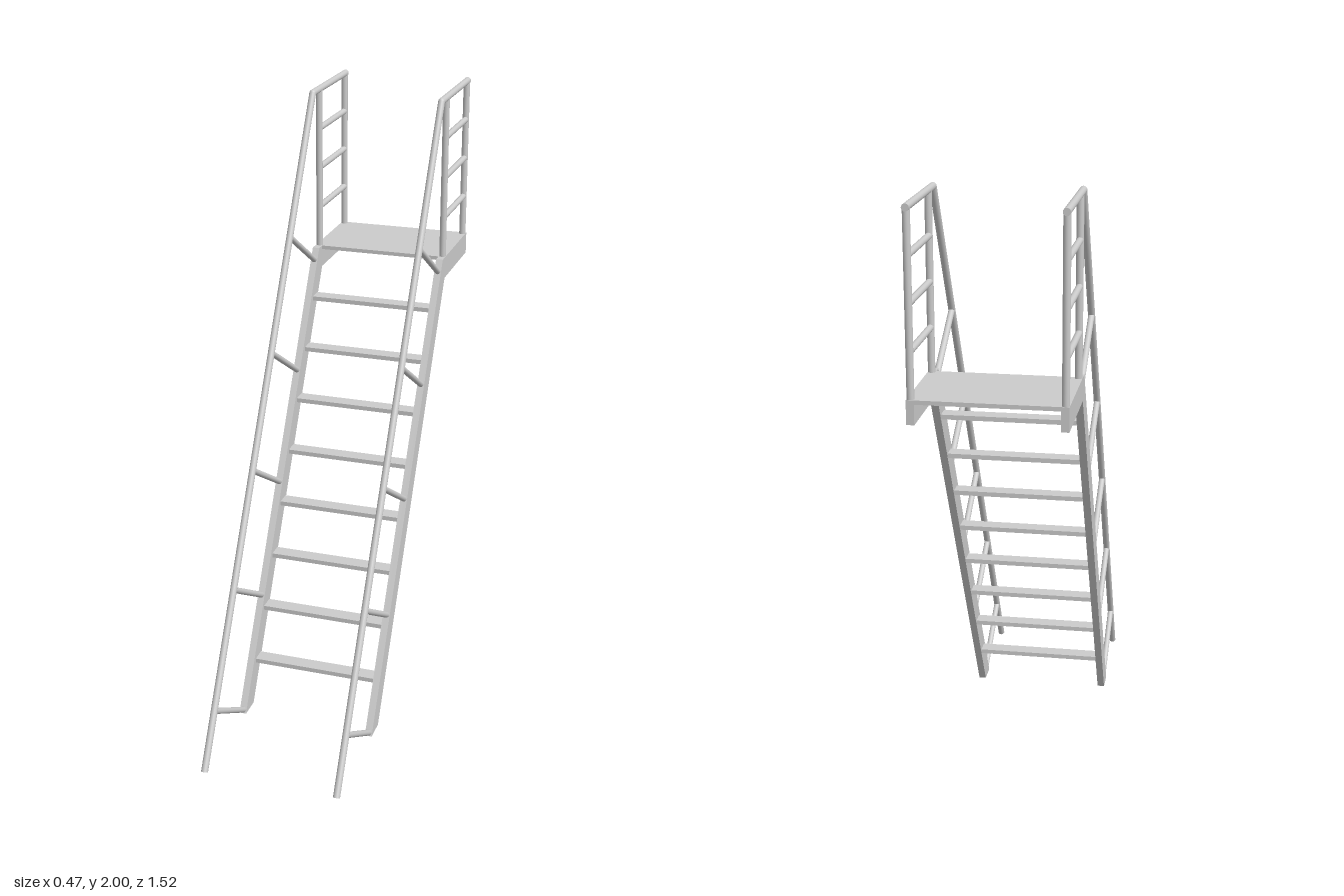
import * as THREE from 'three';

const material = new THREE.MeshStandardMaterial({ color: 0xcccccc });
const R = 0.0115; // tube radius
const SIDE_X = 0.225; // centre plane of each stringer and handrail

function add(parent, name, geometry) {
  const mesh = new THREE.Mesh(geometry, material);
  mesh.name = name;
  parent.add(mesh);
  return mesh;
}

// Round bar between two [z, y] points in a side plane
function bar(parent, name, a, b, radius = R) {
  const p = new THREE.Vector3(0, a[1], a[0]);
  const q = new THREE.Vector3(0, b[1], b[0]);
  const dir = q.clone().sub(p);
  const mesh = add(parent, name, new THREE.CylinderGeometry(radius, radius, dir.length(), 16));
  mesh.position.copy(p).add(q).multiplyScalar(0.5);
  mesh.quaternion.setFromUnitVectors(new THREE.Vector3(0, 1, 0), dir.normalize());
}

// Bent side plate: sloping stringer continuing into the platform edge
function stringerGeometry() {
  const width = 0.024;
  const profile = [[0.405, 0.012], [0.33, 0.012], [-0.447, 1.36], [-0.76, 1.36], [-0.76, 1.435], [-0.415, 1.435]];
  const shape = new THREE.Shape(profile.map(([z, y]) => new THREE.Vector2(-z, y)));
  const geometry = new THREE.ExtrudeGeometry(shape, { depth: width, bevelEnabled: false });
  geometry.translate(0, 0, -width / 2);
  geometry.rotateY(Math.PI / 2);
  return geometry;
}

function createSide(name, x) {
  const side = new THREE.Group();
  side.name = name;
  side.position.x = x;
  add(side, 'stringer', stringerGeometry());

  // Handrail with a rounded bend at the top
  const foot = [0.752, 0.006];
  const bend = [-0.39, 2 - R];
  bar(side, 'slopingHandrail', foot, bend);
  bar(side, 'topHandrail', bend, [-0.76, 2 - R]);
  add(side, 'handrailBend', new THREE.SphereGeometry(R, 16, 12)).position.set(0, bend[1], bend[0]);

  // Struts joining handrail and stringer
  for (let i = 0; i < 5; i++) {
    const z = -0.199 * i;
    const y = 0.3435 * i;
    bar(side, 'handrailStrut', [0.653 + z, 0.177 + y], [0.397 + z, 0.021 + y], 0.01);
  }

  // Platform guard
  for (const z of [-0.458, -0.748]) bar(side, 'guardPost', [z, 1.43], [z, 2 - R]);
  for (const y of [1.575, 1.715, 1.853]) bar(side, 'guardRail', [-0.458, y], [-0.748, y], 0.0105);
  return side;
}

export function createModel() {
  const model = new THREE.Group();
  model.name = 'platformLadder';
  model.add(createSide('leftSide', SIDE_X), createSide('rightSide', -SIDE_X));

  // Treads between the stringers
  const span = 2 * SIDE_X - 0.02;
  for (let i = 0; i < 8; i++) {
    const tread = add(model, 'tread', new THREE.BoxGeometry(span, 0.015, 0.051));
    tread.position.set(0, 0.162 + i * 0.1585, 0.274 - i * 0.0916);
  }

  // Platform deck
  const deck = add(model, 'platformDeck', new THREE.BoxGeometry(span, 0.013, 0.312));
  deck.position.set(0, 1.4285, -0.604);
  return model;
}
